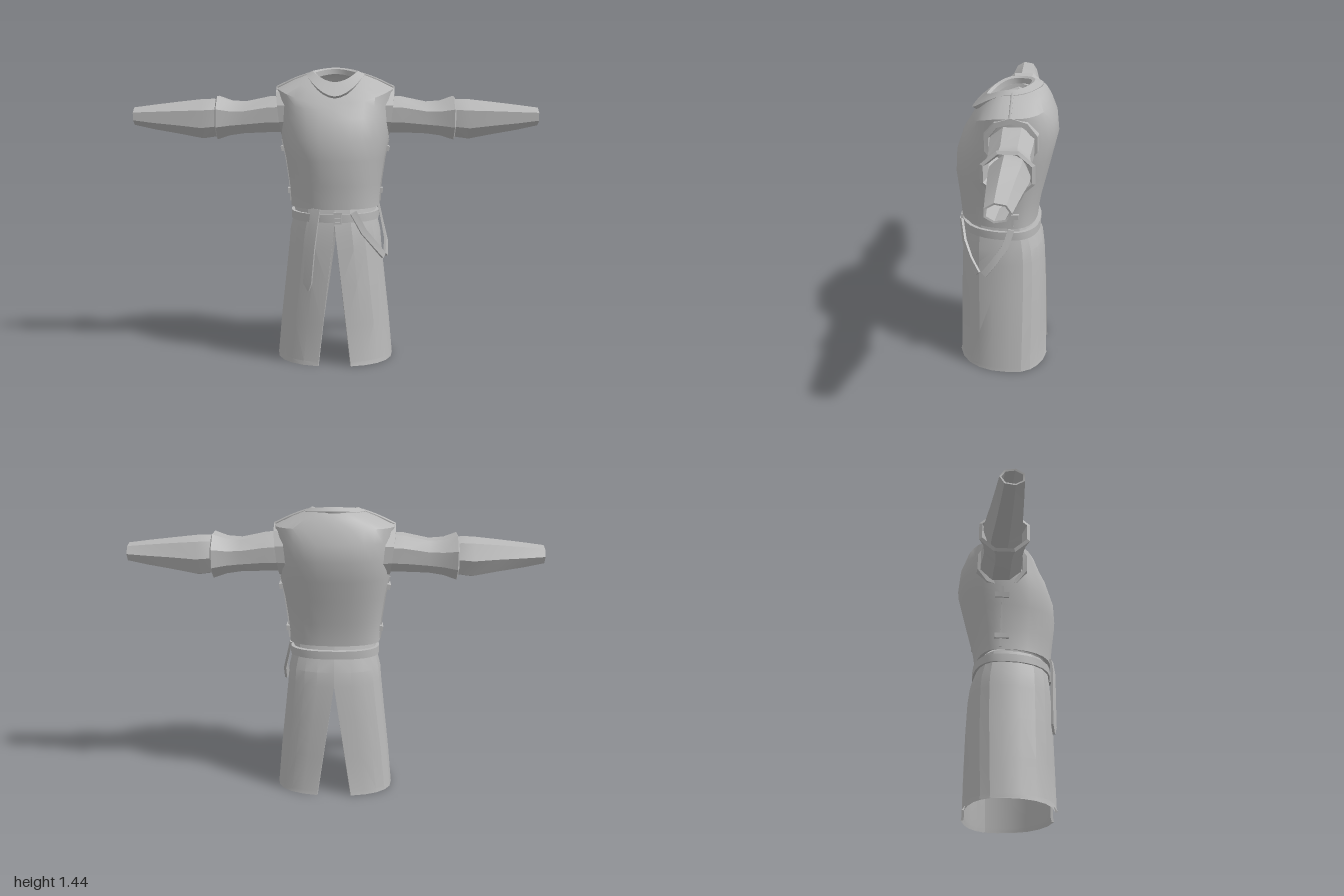
import * as THREE from 'three';
import { toCreasedNormals } from 'three/addons/utils/BufferGeometryUtils.js';

const cloth = new THREE.MeshStandardMaterial({ color: 0xb8b8b8, side: THREE.DoubleSide });
cloth.name = 'grey cloth';

const V = (x, y, z) => new THREE.Vector3(x, y, z);
const spow = (v, e) => Math.sign(v) * Math.pow(Math.abs(v), e);
const ZC = -0.03; // depth of the side seams

// Skin a list of closed cross-sections; optionally cap both ends with a fan.
function loft(rings, crease = 0.6, caps = false) {
  const n = rings[0].length, pos = [], idx = [];
  rings.forEach(r => r.forEach(p => pos.push(p.x, p.y, p.z)));
  for (let i = 0; i < rings.length - 1; i++)
    for (let j = 0; j < n; j++) {
      const a = i * n + j, b = i * n + (j + 1) % n;
      idx.push(a, a + n, b, b, a + n, b + n);
    }
  if (caps) {
    const last = (rings.length - 1) * n;
    for (let j = 1; j < n - 1; j++) idx.push(0, j, j + 1, last, last + j + 1, last + j);
  }
  const g = new THREE.BufferGeometry();
  g.setAttribute('position', new THREE.Float32BufferAttribute(pos, 3));
  g.setIndex(idx);
  return toCreasedNormals(g, crease);
}

// Body cross-section: half width, front z, back z, and heights at front, side, back.
function bodyRing([w, zf, zb, yf, ys = yf, yb = yf], e = 0.85, n = 28) {
  return Array.from({ length: n }, (_, i) => {
    const a = -i / n * Math.PI * 2, c = Math.cos(a), s = Math.sin(a);
    return V(w * spow(c, e), ys + ((s > 0 ? yf : yb) - ys) * s * s,
      ZC + (s > 0 ? zf - ZC : ZC - zb) * spow(s, e));
  });
}

// Sleeve cross-section: x, top y, bottom y, front z, back z; lean moves the top outwards.
function sleeveRing([x, yt, yb, zf, zb], side, n, lean = 0) {
  return Array.from({ length: n }, (_, i) => {
    const a = (i + 0.5) / n * Math.PI * 2, k = 1 / Math.cos(Math.PI / n);
    const s = Math.sin(a) * k;
    return V(side * (x + lean * s), (yt + yb) / 2 + (yt - yb) / 2 * s,
      (zf + zb) / 2 + (zf - zb) / 2 * Math.cos(a) * k);
  });
}

// Flat strap following points, facing away from the body's axis.
function strap(points, width, thick = 0.012, pointed = false) {
  const rings = points.map((p, i) => {
    const t = points[Math.min(i + 1, points.length - 1)].clone()
      .sub(points[Math.max(i - 1, 0)]).normalize();
    const out = V(p.x, 0, p.z - ZC).normalize();
    const across = out.clone().cross(t).normalize();
    out.copy(t).cross(across);
    const w = (pointed && i === points.length - 1 ? 0.004 : width) / 2;
    return [[-w, -1], [w, -1], [w, 1], [-w, 1]].map(([u, v]) =>
      p.clone().addScaledVector(across, u).addScaledVector(out, v * thick / 2));
  });
  return loft(rings, 0.4, true);
}

// One half of the skirt, a thick shell running from the front slit to the back slit.
function skirtPanel(side) {
  const e = 0.85, n = 10;
  const rows = [
    [0.77, 0.2, 0.2, -0.135], [0.7, 0.212, 0.215, -0.155], [0.64, 0.226, 0.222, -0.178],
    [0.57, 0.232, 0.227, -0.187], [0.4, 0.25, 0.232, -0.196], [0.2, 0.272, 0.236, -0.203],
    [0.02, 0.288, 0.24, -0.208], [0, 0.29, 0.245, -0.212],
  ];
  const rings = rows.map(([y, w, zf, zb]) => {
    const edge = (top, half) =>
      Math.acos(Math.pow(Math.max(0, (top - y) / top * half) / w, 1 / e));
    const a0 = edge(0.69, 0.08), a1 = -edge(0.57, 0.085);
    const shell = inset => Array.from({ length: n + 1 }, (_, i) => {
      const a = a0 + (a1 - a0) * i / n, s = Math.sin(a);
      return V(side * (w - inset) * spow(Math.cos(a), e), y,
        ZC + ((s > 0 ? zf - ZC : ZC - zb) - inset) * spow(s, e));
    });
    return [...shell(0), ...shell(0.012).reverse()];
  });
  const g = loft(rings, 0.32);
  return g;
}

export function createModel() {
  const model = new THREE.Group();
  const add = (name, geometry, x = 0, y = 0, z = 0) => {
    const m = new THREE.Mesh(geometry, cloth);
    m.name = name;
    m.position.set(x, y, z);
    model.add(m);
    return m;
  };

  // Padded torso with a turned-in hem
  add('torso', loft([
    [0.195, 0.2, -0.125, 0.78], [0.222, 0.226, -0.152, 0.768], [0.222, 0.228, -0.155, 0.8],
    [0.228, 0.236, -0.168, 0.88], [0.245, 0.251, -0.198, 1.0], [0.267, 0.245, -0.222, 1.1],
    [0.275, 0.212, -0.246, 1.2], [0.282, 0.185, -0.238, 1.24, 1.28, 1.28],
    [0.288, 0.168, -0.21, 1.27, 1.342, 1.35], [0.2, 0.135, -0.188, 1.315, 1.385, 1.395],
    [0.14, 0.11, -0.163, 1.345, 1.408, 1.42], [0.11, 0.09, -0.13, 1.365, 1.418, 1.435],
  ].map(r => bodyRing(r))));

  // Collar band dipping to a point at the front
  add('collar', loft([
    [0.145, 0.155, -0.165, 1.295, 1.395, 1.415], [0.145, 0.172, -0.168, 1.305, 1.41, 1.428],
    [0.113, 0.1, -0.128, 1.372, 1.426, 1.442], [0.1, 0.085, -0.113, 1.365, 1.418, 1.435],
    [0.1, 0.08, -0.112, 1.335, 1.39, 1.41],
  ].map(r => bodyRing(r, 1.1)), 0.5));

  // Belt around the waist
  add('belt', loft([
    [0.2, 0.2, -0.135, 0.705], [0.219, 0.222, -0.166, 0.705],
    [0.219, 0.222, -0.166, 0.745], [0.2, 0.2, -0.135, 0.745],
  ].map(r => bodyRing(r)), 0.5));

  // Buckle frame and prong
  const frame = new THREE.Shape([[-0.02, -0.028], [0.02, -0.028], [0.02, 0.028], [-0.02, 0.028]]
    .map(p => new THREE.Vector2(...p)));
  frame.holes.push(new THREE.Path([[-0.012, -0.019], [-0.012, 0.019], [0.012, 0.019], [0.012, -0.019]]
    .map(p => new THREE.Vector2(...p))));
  add('buckle', new THREE.ExtrudeGeometry(frame, { depth: 0.012, bevelEnabled: false }), 0.015, 0.726, 0.22);
  add('buckleProng', new THREE.BoxGeometry(0.03, 0.007, 0.01), 0.015, 0.726, 0.234);

  // Hanging belt end and the looped side straps
  add('beltEnd', strap([V(-0.09, 0.772, 0.222), V(-0.1, 0.7, 0.23), V(-0.115, 0.58, 0.226),
    V(-0.13, 0.41, 0.224), V(-0.125, 0.37, 0.224)], 0.045, 0.012, true));
  add('frontSideStrap', strap([V(0.09, 0.755, 0.222), V(0.14, 0.66, 0.205),
    V(0.195, 0.59, 0.172), V(0.24, 0.53, 0.13)], 0.032));
  add('rearSideStrap', strap([V(0.217, 0.76, -0.03), V(0.236, 0.68, -0.005),
    V(0.253, 0.6, 0.05), V(0.25, 0.53, 0.1)], 0.032));

  for (const side of [1, -1]) {
    const label = side > 0 ? 'left' : 'right';

    add(label + 'SkirtPanel', skirtPanel(side));

    // Armhole trim, upper sleeve with an open cuff, and forearm
    add(label + 'ArmholeTrim', loft([
      [0.235, 1.345, 1.095, 0.095, -0.16], [0.277, 1.34, 1.1, 0.09, -0.155],
      [0.277, 1.315, 1.12, 0.07, -0.135], [0.25, 1.31, 1.125, 0.06, -0.13],
    ].map(r => sleeveRing(r, side, 10, 0.014)), 0.5));
    add(label + 'UpperSleeve', loft([
      [0.23, 1.305, 1.125, 0.06, -0.14], [0.33, 1.3, 1.125, 0.06, -0.14],
      [0.45, 1.275, 1.12, 0.055, -0.13], [0.52, 1.28, 1.11, 0.062, -0.138],
      [0.583, 1.302, 1.09, 0.078, -0.16], [0.59, 1.288, 1.104, 0.064, -0.146],
      [0.53, 1.265, 1.125, 0.045, -0.12],
    ].map(r => sleeveRing(r, side, 8)), 0.3));
    add(label + 'Forearm', loft([
      [0.53, 1.265, 1.125, 0.025, -0.12], [0.6, 1.282, 1.108, 0.035, -0.132],
      [0.66, 1.28, 1.1, 0.036, -0.13], [0.78, 1.268, 1.122, 0.03, -0.112],
      [0.9, 1.255, 1.142, 0.025, -0.097], [1.0, 1.243, 1.163, 0.02, -0.085],
      [0.998, 1.235, 1.171, 0.012, -0.077], [0.8, 1.255, 1.14, 0.02, -0.1],
    ].map(r => sleeveRing(r, side, 7)), 0.3));

    // Side seam with two small closing straps
    add(label + 'SideSeam', strap([V(side * 0.264, 1.09, ZC), V(side * 0.245, 1.0, ZC),
      V(side * 0.228, 0.88, ZC - 0.003), V(side * 0.223, 0.78, ZC - 0.008)], 0.012, 0.01));
    for (const [x, y, tilt] of [[0.258, 1.045, -0.2], [0.226, 0.835, -0.05]]) {
      const tie = add(label + 'SideTie', new THREE.BoxGeometry(0.022, 0.025, 0.07), side * x, y, ZC - 0.003);
      tie.rotation.z = side * tilt;
    }

    // Raised shoulder seam from collar to armhole
    add(label + 'ShoulderSeam', new THREE.TubeGeometry(new THREE.CatmullRomCurve3([
      V(side * 0.13, 1.412, ZC), V(side * 0.2, 1.387, ZC), V(side * 0.29, 1.345, ZC),
    ]), 8, 0.007, 5));
  }
  return model;
}
